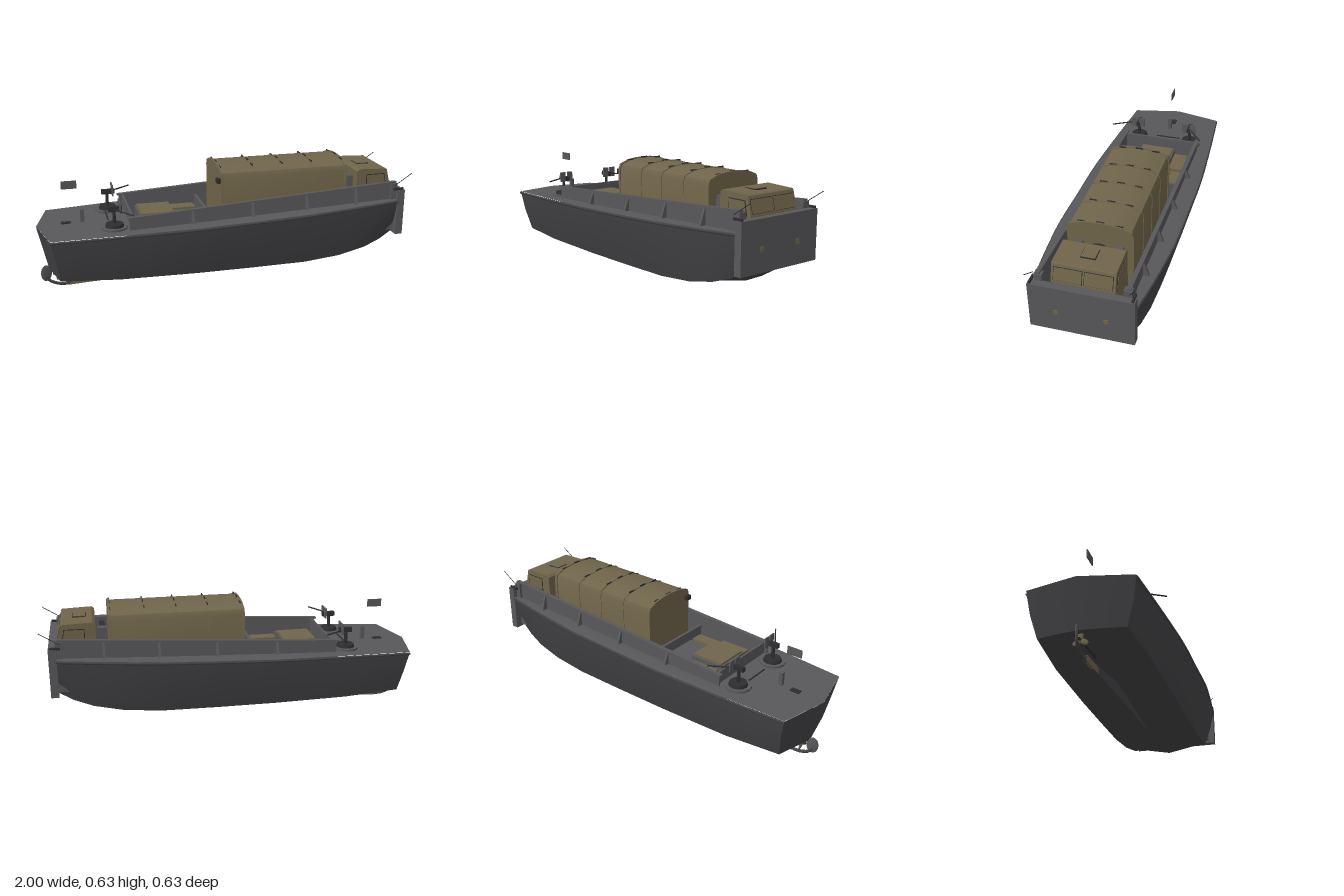
import * as THREE from 'three';
import { toCreasedNormals } from 'three/addons/utils/BufferGeometryUtils.js';

const mat = (name, color, side = THREE.FrontSide) => {
  const m = new THREE.MeshStandardMaterial({ color, side });
  m.name = name;
  return m;
};
const hullGrey = mat('hull grey', 0x434346);
const deckGrey = mat('deck grey', 0x58585b, THREE.DoubleSide);
const tan = mat('canvas tan', 0x70654a);
const dark = mat('dark fittings', 0x2e2e30, THREE.DoubleSide);

// Hull stations: x, sheer half-width, chine half-width, chine y, keel y
const STATIONS = [
  [-0.94, 0.26, 0.21, 0.11, 0.1], [-0.6, 0.285, 0.235, 0.1, 0.098],
  [-0.2, 0.307, 0.24, 0.095, 0.088], [0.1, 0.307, 0.24, 0.095, 0.064],
  [0.4, 0.305, 0.24, 0.098, 0.05], [0.6, 0.29, 0.235, 0.115, 0.075],
  [0.75, 0.275, 0.225, 0.145, 0.11], [0.85, 0.262, 0.21, 0.18, 0.155],
  [0.925, 0.252, 0.195, 0.22, 0.2],
];
const sheer = (x) => (x < 0 ? 0.37 + 0.03 * x : 0.37 + 0.043 * x);
const bulwarkTop = (x) => 0.42 + (x + 0.55) * 0.06;

export function createModel() {
  const model = new THREE.Group();
  model.name = 'landingCraft';

  const add = (name, geo, material, x = 0, y = 0, z = 0, parent = model) => {
    const mesh = new THREE.Mesh(geo, material);
    mesh.name = name;
    mesh.position.set(x, y, z);
    parent.add(mesh);
    return mesh;
  };
  const box = (name, material, x0, x1, y0, y1, z0, z1, parent) =>
    add(name, new THREE.BoxGeometry(x1 - x0, y1 - y0, z1 - z0), material,
      (x0 + x1) / 2, (y0 + y1) / 2, (z0 + z1) / 2, parent);
  const shapeOf = (pts) => new THREE.Shape(pts.map((p) => new THREE.Vector2(...p)));
  // Side outline (x, y) given a thickness across z
  const sidePlate = (name, material, pts, width, z = 0, parent = model) => {
    const g = new THREE.ExtrudeGeometry(shapeOf(pts), { depth: width, bevelEnabled: false });
    return add(name, g.translate(0, 0, -width / 2), material, 0, 0, z, parent);
  };
  const rod = (name, material, a, b, r, parent) => {
    const path = new THREE.LineCurve3(new THREE.Vector3(...a), new THREE.Vector3(...b));
    return add(name, new THREE.TubeGeometry(path, 1, r, 6), material, 0, 0, 0, parent);
  };

  // Hull shell from cross-sections, with a shallow V transom
  const sternX = (z, y) => -1 + 0.06 * (Math.abs(z) / 0.26) + Math.max(0, 0.34 - y) * 0.22;
  const pos = [], idx = [];
  STATIONS.forEach(([x, zs, zc, yc, yk], i) => {
    const ys = sheer(x);
    const half = [[zs, ys], [zs - 0.003, ys - 0.02], [(zs + zc) / 2 + 0.008, (ys + yc) / 2],
      [zc, yc], [zc * 0.65, yc + (yk - yc) * 0.15]];
    const ring = [...half, [0, yk], ...half.slice().reverse().map(([z, y]) => [-z, y])];
    ring.forEach(([z, y]) => pos.push(i === 0 ? sternX(z, y) : x, y, z));
  });
  const N = 11;
  for (let i = 0; i < STATIONS.length - 1; i++) {
    for (let j = 0; j < N - 1; j++) {
      const a = i * N + j, b = a + N;
      idx.push(a, a + 1, b, b, a + 1, b + 1);
    }
  }
  const centre = pos.length / 3;
  for (let j = 0; j < 5; j++) pos.push(sternX(0, pos[j * 3 + 1]), pos[j * 3 + 1], 0);
  for (let j = 0; j < 5; j++) {
    const c = centre + j, d = j < 4 ? c + 1 : 5;
    const q = N - 1 - j;
    idx.push(j, c, j + 1, c, d, j + 1, c, q, d, q, q - 1, d);
  }
  const hullGeo = new THREE.BufferGeometry();
  hullGeo.setAttribute('position', new THREE.Float32BufferAttribute(pos, 3));
  hullGeo.setIndex(idx);
  add('hull', toCreasedNormals(hullGeo, 0.5), hullGrey);

  // Deck with the cargo well cut out, following the sheer
  const side = STATIONS.map(([x, z]) => [x, z]);
  const outline = shapeOf([[-1, 0], ...side, ...side.slice().reverse().map(([x, z]) => [x, -z])]);
  const wellX = [-0.52, -0.2, 0.1, 0.4, 0.6, 0.75, 0.91];
  outline.holes.push(new THREE.Path([...wellX.map((x) => new THREE.Vector2(x, -0.21)),
    ...wellX.slice().reverse().map((x) => new THREE.Vector2(x, 0.21))]));
  const deckGeo = new THREE.ShapeGeometry(outline);
  const dp = deckGeo.attributes.position;
  for (let i = 0; i < dp.count; i++) {
    dp.setXYZ(i, dp.getX(i), sheer(dp.getX(i)) + 0.002, -dp.getY(i));
  }
  deckGeo.computeVertexNormals();
  add('deck', deckGeo, deckGrey);
  box('wellFloor', deckGrey, -0.52, 0.92, 0.225, 0.235, -0.2, 0.2);
  box('wellAftWall', deckGrey, -0.525, -0.515, 0.23, 0.42, -0.215, 0.215);

  // Bulwarks, rub rails, stays, bow posts and whip aerials on both sides
  for (const s of [-1, 1]) {
    sidePlate('bulwark', deckGrey, [[-0.54, 0.23], [0.92, 0.23], [0.92, bulwarkTop(0.92)],
      [-0.54, bulwarkTop(-0.54)]], 0.01, s * 0.213);
    sidePlate('bulwarkCap', deckGrey, [[-0.55, 0.415], [0.92, 0.501], [0.92, 0.51], [-0.55, 0.423]],
      0.022, s * 0.215);
    for (const x of [-0.22, 0.1, 0.4, 0.68]) {
      const stay = shapeOf([[0.213, sheer(x)], [0.25, sheer(x)], [0.222, bulwarkTop(x) - 0.01],
        [0.213, bulwarkTop(x) - 0.01]].map(([z, y]) => [-s * z, y]));
      const g = new THREE.ExtrudeGeometry(shapeOf(stay.getPoints()), { depth: 0.012, bevelEnabled: false });
      add('bulwarkStay', g.rotateY(Math.PI / 2), deckGrey, x);
    }
    const rail = new THREE.CatmullRomCurve3(STATIONS.map(([x, z]) =>
      new THREE.Vector3(x, sheer(x) - 0.007, s * z)));
    add('rubRail', new THREE.TubeGeometry(rail, 40, 0.007, 6), hullGrey);
    box('bowPost', deckGrey, 0.89, 0.925, 0.4, 0.5, s * 0.212 - 0.02, s * 0.212 + 0.02);
    box('rampHinge', dark, 0.9, 0.955, 0.465, 0.478, s * 0.243 - 0.005, s * 0.243 + 0.005);
    rod('aerial', dark, [0.9, 0.49, s * 0.243], [1, 0.555, s * 0.243], 0.0018);
    const mark = box('rampMark', tan, 0.958, 0.963, 0.314, 0.338, s * 0.12 - 0.012, s * 0.12 + 0.012);
    mark.rotation.x = 0.25;
  }
  box('bowRamp', deckGrey, 0.92, 0.96, 0.215, 0.467, -0.254, 0.254);

  // Keel skeg, rudder and propeller
  sidePlate('skeg', hullGrey, [[-0.87, 0.004], [-0.7, 0.008], [-0.1, 0.046], [0.2, 0.056], [0.2, 0.07],
    [-0.2, 0.1], [-0.38, 0.1], [-0.6, 0.06], [-0.83, 0.035]], 0.014);
  sidePlate('skegShoe', tan, [[-0.85, 0.002], [-0.68, 0.01], [-0.68, 0.04], [-0.83, 0.033]], 0.016);
  const heel = new THREE.CatmullRomCurve3([[-0.83, 0.008], [-0.9, 0.012], [-0.95, 0.035], [-0.965, 0.06]]
    .map(([x, y]) => new THREE.Vector3(x, y, 0)));
  add('rudderHeel', new THREE.TubeGeometry(heel, 12, 0.008, 6), hullGrey);
  const rudder = add('rudder', new THREE.SphereGeometry(1, 16, 10), deckGrey, -0.965, 0.078, 0);
  rudder.scale.set(0.03, 0.045, 0.006);
  rudder.rotation.y = 0.3;
  rod('propellerShaft', dark, [-0.93, 0.07, 0], [-0.7, 0.085, 0], 0.006);
  for (let k = 0; k < 3; k++) {
    const blade = add('propellerBlade', new THREE.SphereGeometry(1, 12, 8), tan, -0.91,
      0.07 + 0.02 * Math.cos(k * 2.094), 0.02 * Math.sin(k * 2.094));
    blade.scale.set(0.005, 0.022, 0.014);
    blade.rotation.x = k * 2.094;
  }

  // Engine cover and benches behind the cargo
  box('engineCover', tan, -0.46, -0.285, 0.24, 0.395, -0.09, 0.09);
  box('coverFrame', deckGrey, -0.47, -0.28, 0.24, 0.385, -0.1, 0.1);
  box('coverPlatform', deckGrey, -0.28, -0.12, 0.24, 0.34, -0.1, 0.1);
  for (const s of [-1, 1]) {
    const [a, b] = s > 0 ? [0.103, 0.17] : [-0.18, -0.103];
    box('sideBench', tan, -0.45, -0.29, 0.24, 0.365, a, b);
    box('sideBench', tan, -0.285, -0.13, 0.24, 0.35, a, b);
  }
  box('crossBulkhead', deckGrey, -0.115, -0.1, 0.24, 0.39, -0.2, 0.2);

  // Gun tubs and guns on the after deck
  for (const s of [-1, 1]) {
    const z = s * 0.155;
    const gun = new THREE.Group();
    gun.name = 'gunMount';
    model.add(gun);
    add('gunTub', new THREE.CylinderGeometry(0.068, 0.068, 0.012, 12), deckGrey, -0.61, 0.358, z, gun);
    add('gunHatch', new THREE.CylinderGeometry(0.045, 0.05, 0.02, 12), dark, -0.61, 0.37, z, gun);
    rod('gunPedestal', dark, [-0.61, 0.37, z], [-0.61, 0.46, z], 0.009, gun);
    rod('gunBarrel', dark, [-0.63, 0.457, z - s * 0.02],
      s > 0 ? [-0.53, 0.46, 0.3] : [-0.48, 0.46, -0.24], 0.004, gun);
    box('gunShield', deckGrey, -0.585, -0.578, 0.44, 0.497, z + 0.006, z + 0.04, gun);
    box('gunShield', deckGrey, -0.585, -0.578, 0.44, 0.497, z - 0.04, z - 0.006, gun);
    box('gunBody', dark, -0.64, -0.57, 0.445, 0.47, z - 0.01, z + 0.01, gun);
  }
  rod('deckRod', dark, [-0.63, 0.365, -0.09], [-0.63, 0.365, 0.05], 0.004);
  box('sternPost', deckGrey, -0.77, -0.75, 0.35, 0.42, -0.01, 0.01);
  box('sternFlag', deckGrey, -0.86, -0.78, 0.533, 0.575, -0.004, 0.001);
  box('sternHatch', dark, -0.87, -0.82, 0.346, 0.352, -0.02, 0.01);

  // Truck carried in the well
  const truck = new THREE.Group();
  truck.name = 'truck';
  model.add(truck);
  const arch = (grow) => {
    const h = [[0.157, 0.3], [0.16, 0.575], [0.15, 0.6], [0.1, 0.618], [0.05, 0.625]]
      .map(([z, y]) => [z + grow, y + grow]);
    return shapeOf([...h, [0, 0.627 + grow], ...h.slice().reverse().map(([z, y]) => [-z, y])]);
  };
  const cover = (name, material, x0, x1, grow) => {
    const g = new THREE.ExtrudeGeometry(arch(grow), { depth: x1 - x0, bevelEnabled: false });
    add(name, toCreasedNormals(g.rotateY(Math.PI / 2), 0.6), material, x0, 0, 0, truck);
  };
  cover('canvasCover', tan, -0.05, 0.645, 0);
  for (const x of [-0.05, 0.64]) cover('canvasHem', tan, x, x + 0.014, 0.005);
  for (const x of [0.135, 0.3, 0.465]) cover('canvasHoop', tan, x, x + 0.008, 0.003);
  for (const x of [-0.04, 0.135, 0.3, 0.465, 0.64]) {
    for (const z of [-0.09, 0, 0.09]) {
      box('canvasTie', dark, x, x + 0.005, 0.62, z ? 0.627 : 0.634, z - 0.02, z + 0.02, truck);
    }
  }
  box('tailLamp', dark, -0.07, -0.05, 0.55, 0.575, 0.13, 0.16, truck);
  box('chassis', dark, 0, 0.9, 0.275, 0.305, -0.08, 0.08, truck);
  for (const x of [0.1, 0.25, 0.8]) {
    for (const s of [-1, 1]) {
      add('wheel', new THREE.CylinderGeometry(0.05, 0.05, 0.035, 16).rotateX(Math.PI / 2), dark,
        x, 0.285, s * 0.13, truck);
    }
  }
  add('spareWheel', new THREE.CylinderGeometry(0.06, 0.06, 0.03, 16).rotateZ(Math.PI / 2), dark,
    0.685, 0.47, 0, truck);
  box('spareRack', deckGrey, 0.66, 0.71, 0.3, 0.53, -0.12, -0.08, truck);
  box('spareRack', deckGrey, 0.66, 0.71, 0.3, 0.53, 0.08, 0.12, truck);

  // Cab with sloped windscreen, window frames and roof hatch
  sidePlate('cab', tan, [[0.72, 0.28], [0.918, 0.28], [0.918, 0.47], [0.895, 0.56], [0.89, 0.565],
    [0.735, 0.571], [0.72, 0.56]], 0.305, 0, truck);
  for (const s of [-1, 1]) {
    sidePlate('sideWindowFrame', dark, [[0.775, 0.465], [0.895, 0.465], [0.88, 0.54], [0.775, 0.54]],
      0.003, s * 0.153, truck);
    sidePlate('sideWindow', tan, [[0.779, 0.469], [0.89, 0.469], [0.877, 0.536], [0.779, 0.536]],
      0.003, s * 0.1545, truck);
    const frame = box('windscreenFrame', dark, 0.9055, 0.9085, 0.477, 0.547, s * 0.073 - 0.069, s * 0.073 + 0.069, truck);
    const pane = box('windscreenPane', tan, 0.9075, 0.9105, 0.4795, 0.5445, s * 0.073 - 0.0665, s * 0.073 + 0.0665, truck);
    frame.rotation.z = pane.rotation.z = 0.25;
  }
  box('roofHatchRim', dark, 0.765, 0.835, 0.566, 0.572, -0.037, 0.037, truck);
  box('roofHatch', tan, 0.768, 0.832, 0.567, 0.575, -0.034, 0.034, truck);

  return model;
}
